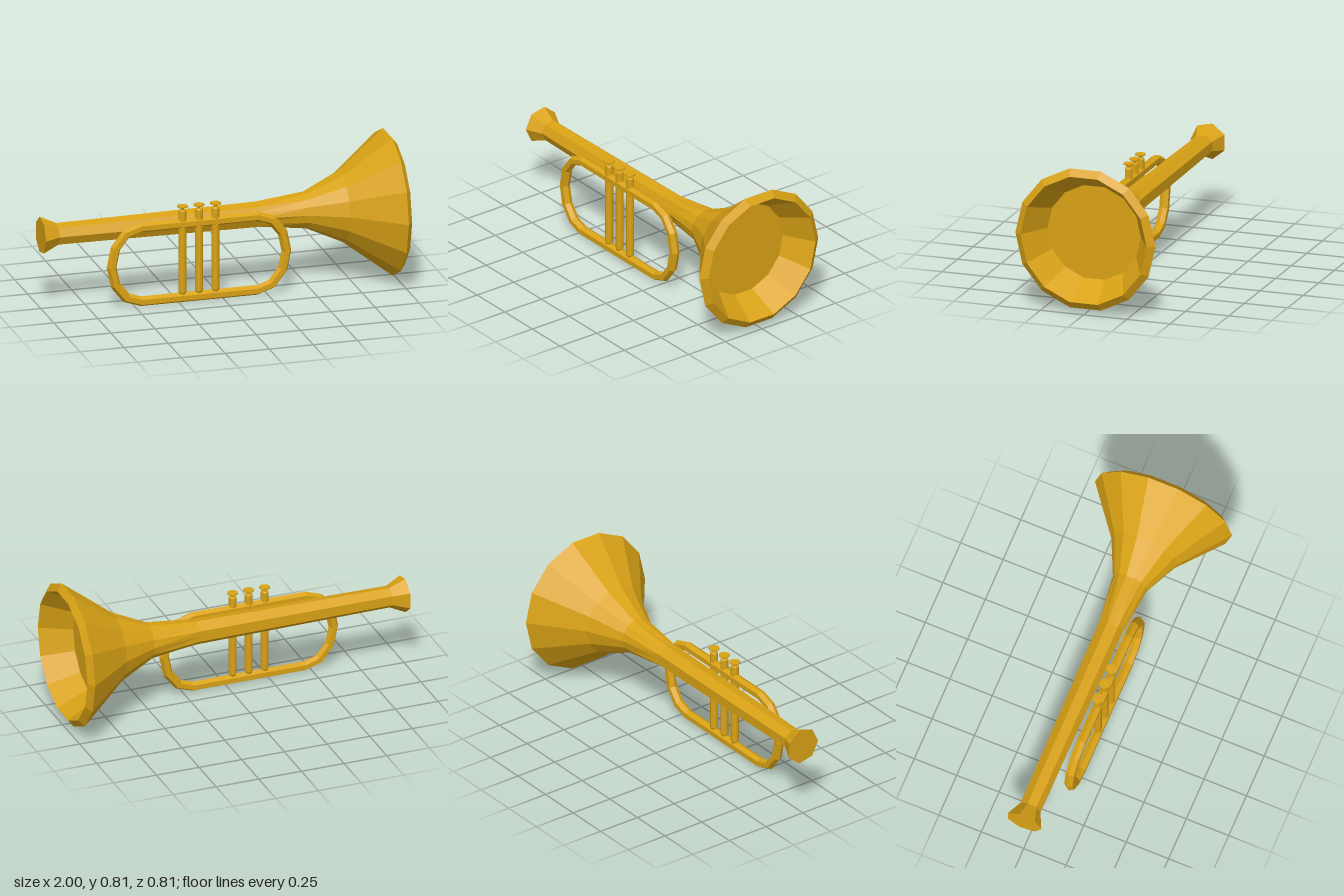
import * as THREE from 'three';

const brass = new THREE.MeshStandardMaterial({ color: 0xd9a215, flatShading: true });

function part(name, geometry, parent) {
  const mesh = new THREE.Mesh(geometry, brass);
  mesh.name = name;
  parent.add(mesh);
  return mesh;
}

const profile = (pairs) => pairs.map(([r, y]) => new THREE.Vector2(r, y));

// Mouthpiece, lead pipe and hollow bell turned as one body along x.
// The 14 sides collapse to 7 on the narrow pipe.
function hornGeometry() {
  const points = profile([
    [0, -1], [0.104, -1], [0.061, -0.91], [0.072, 0.22],
    [0.102, 0.5], [0.195, 0.7], [0.405, 0.97],
    [0.365, 1], [0.27, 0.83], [0, 0.83],
  ]);
  const geometry = new THREE.LatheGeometry(points, 14);
  const pos = geometry.attributes.position;
  for (let k = 0; k < pos.count; k++) {
    const column = Math.floor(k / points.length);
    if (column % 2 === 1 && pos.getY(k) < 0.3) {
      const s = Math.cos(Math.PI / 7);
      pos.setX(k, pos.getX(k) * s);
      pos.setZ(k, pos.getZ(k) * s);
    }
  }
  geometry.rotateZ(-Math.PI / 2);
  geometry.computeVertexNormals();
  return geometry;
}

// Closed tube: a torus reshaped into two half-ellipse bends joined by straights.
function loopGeometry() {
  const sides = 6, bends = 7, steps = bends * 2;
  const rx = 0.165, ry = 0.212, r = 0.028;
  const geometry = new THREE.TorusGeometry(1, r, sides, steps);
  const pos = geometry.attributes.position;
  for (let k = 0; k < pos.count; k++) {
    const i = (k % (steps + 1)) % steps;
    const v = (Math.floor(k / (steps + 1)) / sides) * Math.PI * 2;
    const right = i < bends;
    const a = -Math.PI / 2 + (right ? i : i - 1) * (Math.PI / (bends - 1));
    const normal = new THREE.Vector2(Math.cos(a) / rx, Math.sin(a) / ry).normalize();
    pos.setXYZ(
      k,
      (right ? 0.195 : -0.467) + rx * Math.cos(a) + normal.x * r * Math.cos(v),
      ry * Math.sin(a) + normal.y * r * Math.cos(v),
      r * Math.sin(v),
    );
  }
  geometry.computeVertexNormals();
  return geometry;
}

export function createModel() {
  const trumpet = new THREE.Group();
  trumpet.name = 'trumpet';

  part('hornBody', hornGeometry(), trumpet).position.y = 0.42;
  part('tubingLoop', loopGeometry(), trumpet).position.set(0, 0.24, 0.115);

  // Three valves, each a casing below a flared finger button
  const casing = new THREE.LatheGeometry(profile([
    [0, 0.03], [0.016, 0.045], [0.022, 0.06], [0.022, 0.525], [0.018, 0.531], [0, 0.531],
  ]), 10);
  const button = new THREE.LatheGeometry(profile([
    [0.009, 0.525], [0.009, 0.538], [0.03, 0.548], [0.03, 0.555], [0, 0.555],
  ]), 10);
  [-0.23, -0.136, -0.042].forEach((x, i) => {
    const valve = new THREE.Group();
    valve.name = `valve${i + 1}`;
    valve.position.set(x, 0, 0.115);
    part('valveCasing', casing, valve);
    part('valveButton', button, valve);
    trumpet.add(valve);
  });

  return trumpet;
}
